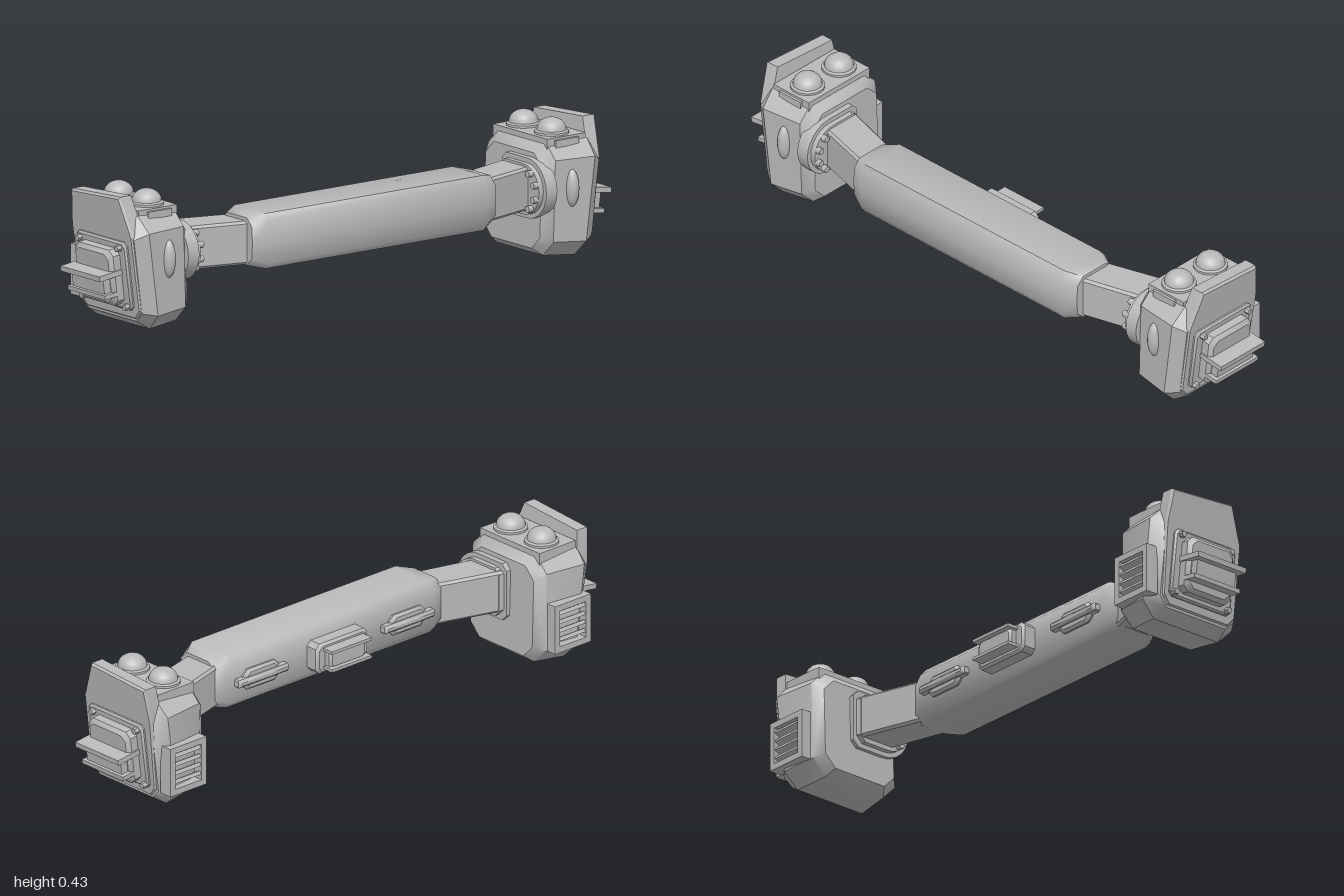
import * as THREE from 'three';
import { toCreasedNormals } from 'three/addons/utils/BufferGeometryUtils.js';

const grey = new THREE.MeshStandardMaterial({ color: 0xbababa });
grey.name = 'grey metal';

// Skin a row of rings (equal point counts) and cap both ends
function loft(rings, crease = 0.6) {
  const tris = [];
  const n = rings[0].length;
  const centre = r => r.reduce((s, p) => s.add(p), new THREE.Vector3()).divideScalar(n);
  const first = rings[0], last = rings[rings.length - 1];
  const c0 = centre(first), c1 = centre(last);
  for (let i = 0; i < n; i++) {
    const j = (i + 1) % n;
    for (let k = 0; k < rings.length - 1; k++) {
      const a = rings[k], b = rings[k + 1];
      tris.push([a[i], a[j], b[j]], [a[i], b[j], b[i]]);
    }
    tris.push([c0, first[j], first[i]], [c1, last[i], last[j]]);
  }
  // Turn the faces outwards
  const volume = tris.reduce((s, [a, b, c]) => s + a.dot(b.clone().cross(c)), 0);
  const pts = tris.flatMap(([a, b, c]) => (volume < 0 ? [a, c, b] : [a, b, c]));
  return toCreasedNormals(new THREE.BufferGeometry().setFromPoints(pts), crease);
}

// Ring in the zy plane; lean shifts x with height
const ring = (x, pts, lean = 0) =>
  pts.map(([z, y]) => new THREE.Vector3(x + lean * (y - 0.2), y, z));

const octagon = (z0, z1, y0, y1, c) => [
  [z0 + c, y0], [z1 - c, y0], [z1, y0 + c], [z1, y1 - c],
  [z1 - c, y1], [z0 + c, y1], [z0, y1 - c], [z0, y0 + c]];

// Plate along x with a bevelled outer edge
function plate(x0, x1, z0, z1, y0, y1, c, b) {
  return loft([
    ring(x0, octagon(z0, z1, y0, y1, c)),
    ring(x1 - b, octagon(z0, z1, y0, y1, c)),
    ring(x1, octagon(z0 + b, z1 - b, y0 + b, y1 - b, c))]);
}

function box(x0, x1, y0, y1, z0, z1) {
  return new THREE.BoxGeometry(x1 - x0, y1 - y0, z1 - z0)
    .translate((x0 + x1) / 2, (y0 + y1) / 2, (z0 + z1) / 2);
}

// Mirror in x and restore the winding
function mirrored(geo) {
  const g = geo.index ? geo.toNonIndexed() : geo.clone();
  g.scale(-1, 1, 1);
  const { position, normal } = g.attributes;
  for (const at of [position, normal]) {
    for (let i = 0; i < at.count; i += 3) {
      const b = new THREE.Vector3().fromBufferAttribute(at, i + 1);
      const c = new THREE.Vector3().fromBufferAttribute(at, i + 2);
      at.setXYZ(i + 1, c.x, c.y, c.z);
      at.setXYZ(i + 2, b.x, b.y, b.z);
    }
  }
  return g;
}

export function createModel() {
  const model = new THREE.Group();
  model.name = 'gripBar';
  const add = (name, geo) => {
    const m = new THREE.Mesh(geo, grey);
    m.name = name;
    model.add(m);
  };
  const pair = (name, geo) => {
    add(name + 'Left', geo);
    add(name + 'Right', mirrored(geo));
  };
  // The outer faces of the end housings lean outwards at the top
  const tilt = new THREE.Matrix4().makeTranslation(0.9, 0.2, 0)
    .multiply(new THREE.Matrix4().makeRotationZ(-0.13));
  const tilted = (name, geo) => pair(name, geo.applyMatrix4(tilt));

  // Central bar
  const end = octagon(0.03, 0.18, 0.158, 0.308, 0.025);
  const mid = [[0.03, 0.147], [0.185, 0.146], [0.2, 0.165], [0.206, 0.232], [0.2, 0.3],
    [0.185, 0.32], [0.03, 0.32], [0.008, 0.296], [0.008, 0.17]];
  const tip = [...end.slice(0, 3), [0.183, 0.232], ...end.slice(3)];
  add('bar', loft([ring(-0.475, tip), ring(-0.425, mid), ring(0.425, mid), ring(0.475, tip)], 0.9));

  // Fittings on the back of the bar
  const back = (name, x, w, h, z0, z1, c) => {
    const g = plate(-z0, -z1, -w / 2, w / 2, -h / 2, h / 2, c, 0.008);
    add(name, g.rotateY(Math.PI / 2).translate(x, 0.232, 0));
  };
  back('centreFittingBase', 0, 0.215, 0.1, 0.02, -0.04, 0.015);
  back('centreFittingBlock', 0, 0.15, 0.062, -0.03, -0.065, 0.008);
  for (const y of [0.198, 0.258]) add('centreFittingRail', box(-0.083, 0.083, y, y + 0.01, -0.08, -0.03));
  for (const s of [-1, 1]) {
    back('sideFittingBase', s * 0.305, 0.15, 0.068, 0.02, -0.006, 0.018);
    back('sideFittingRail', s * 0.305, 0.21, 0.026, 0.02, -0.018, 0.004);
  }

  // Slanted arms
  pair('arm', loft([
    ring(0.45, octagon(0.035, 0.163, 0.16, 0.297, 0.008)),
    ring(0.7, octagon(-0.04, 0.095, 0.16, 0.297, 0.008))]));

  // Mounting flanges, round at the front and square at the back
  const flange = (x0, x1, r, zBack) => {
    const pts = [[zBack, 0.225 - r + 0.02], [zBack + 0.02, 0.225 - r]];
    for (let i = 0; i <= 12; i++) {
      const a = -Math.PI / 2 + (Math.PI * i) / 12;
      pts.push([0.082 + r * Math.cos(a), 0.225 + r * Math.sin(a)]);
    }
    pts.push([zBack + 0.02, 0.225 + r], [zBack, 0.225 + r - 0.02]);
    return loft([ring(x0, pts), ring(x1, pts)]);
  };
  pair('flange', flange(0.677, 0.72, 0.095, -0.045));
  pair('flangeStep', flange(0.66, 0.69, 0.08, -0.03));
  for (const a of [-1.0, -0.35, 0.35, 1.0]) {
    pair('flangeBolt', new THREE.CylinderGeometry(0.011, 0.011, 0.025, 8).rotateZ(Math.PI / 2)
      .translate(0.656, 0.225 + 0.066 * Math.sin(a), 0.09 + 0.062 * Math.cos(a)));
  }

  // End housings
  pair('housing', loft([
    ring(0.692, octagon(-0.15, 0.13, 0.035, 0.335, 0.04), 0.03),
    ring(0.722, octagon(-0.175, 0.16, 0.012, 0.368, 0.05), 0.03),
    ring(0.855, octagon(-0.19, 0.173, 0.002, 0.365, 0.05), 0.13),
    ring(0.895, octagon(-0.155, 0.145, 0.03, 0.325, 0.03), 0.13)]));
  pair('housingTop', new THREE.BoxGeometry(0.15, 0.04, 0.27).translate(0.797, 0.36, -0.012));

  // Domes on top
  const profile = [[0.054, 0], [0.054, 0.01], [0.046, 0.014]];
  for (let i = 1; i <= 6; i++) {
    const a = (i / 6) * Math.PI / 2;
    profile.push([0.046 * Math.cos(a), 0.014 + 0.038 * Math.sin(a)]);
  }
  for (const z of [-0.082, 0.058]) {
    const dome = new THREE.LatheGeometry(profile.map(p => new THREE.Vector2(...p)), 20);
    pair('dome', toCreasedNormals(dome, 0.6).translate(0.79, 0.377, z));
  }

  // Raised oval and clip on the front of the housing
  pair('frontOval', new THREE.SphereGeometry(1, 16, 12).scale(0.022, 0.06, 0.025).translate(0.787, 0.225, 0.163));
  pair('frontClip', box(0.75, 0.84, 0.35, 0.373, 0.1, 0.132));

  // Louvred vent on the back
  const frame = new THREE.Shape([[-0.075, -0.08], [0.075, -0.08], [0.075, 0.08], [-0.075, 0.08]]
    .map(p => new THREE.Vector2(...p)));
  frame.holes.push(new THREE.Path([[-0.055, -0.06], [-0.055, 0.06], [0.055, 0.06], [0.055, -0.06]]
    .map(p => new THREE.Vector2(...p))));
  pair('ventFrame', new THREE.ExtrudeGeometry(frame, { depth: 0.045, bevelEnabled: false })
    .translate(0.803, 0.14, -0.211));
  for (let i = 0; i < 4; i++) {
    pair('ventLouvre', new THREE.BoxGeometry(0.115, 0.012, 0.026).rotateX(0.5)
      .translate(0.803, 0.096 + i * 0.029, -0.194));
  }

  // Outer shield, rising above the housing
  const shield = [[0.145, 0.065], [0.12, 0.037], [-0.125, 0.037], [-0.148, 0.065], [-0.16, 0.3],
    [-0.145, 0.411], [0.096, 0.426], [0.142, 0.305]];
  const inset = shield.map(([z, y]) => [z * 0.97, 0.2 + (y - 0.2) * 0.97]);
  pair('shield', loft([ring(0.852, shield, 0.13), ring(0.893, shield, 0.13), ring(0.901, inset, 0.13)], 0.3));

  // Panel, hatch and blades on the leaning outer face
  tilted('panel', plate(-0.01, 0.012, -0.128, 0.118, -0.135, 0.085, 0.012, 0.006));
  tilted('hatch', plate(0, 0.05, -0.1, 0.086, -0.118, 0.062, 0.018, 0.012));
  tilted('hatchBlock', box(0.02, 0.075, -0.07, -0.015, -0.085, 0.072));
  tilted('upperBlade', box(0.01, 0.101, -0.02, -0.003, -0.105, 0.09));
  tilted('lowerBlade', box(0.01, 0.085, -0.084, -0.07, -0.1, 0.086));
  for (const [z, y] of [[0.091, 0.067], [-0.106, 0.067], [0.1, -0.122], [-0.115, -0.122]]) {
    tilted('panelBolt', toCreasedNormals(new THREE.CylinderGeometry(0.01, 0.012, 0.03, 6), 0.4)
      .rotateZ(-Math.PI / 2).translate(0.012, y, z));
  }
  return model;
}
